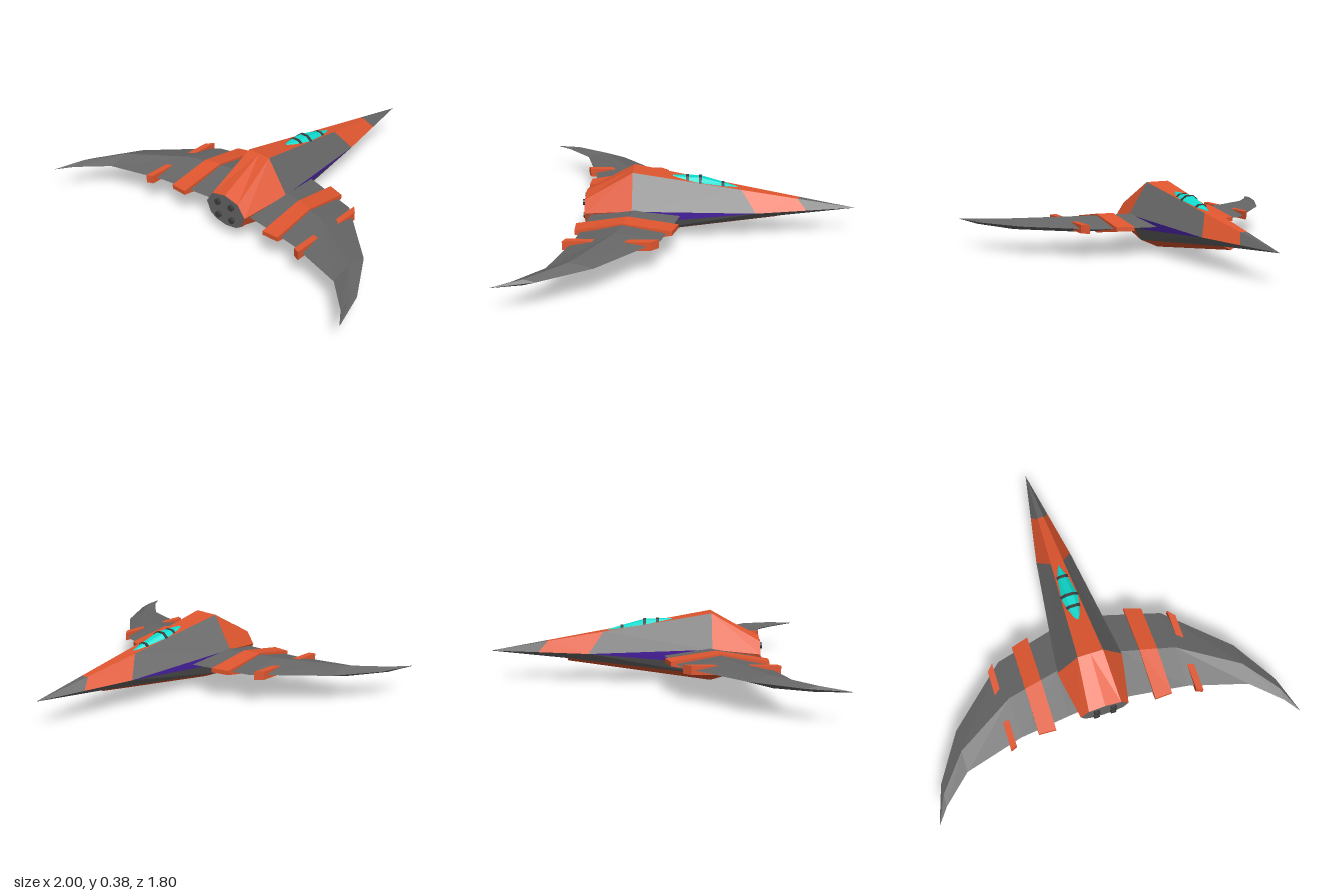
import * as THREE from 'three';

const mat = (name, color) => {
  const m = new THREE.MeshStandardMaterial({ color });
  m.name = name;
  m.flatShading = true;
  return m;
};

const V = (x, y, z) => new THREE.Vector3(x, y, z);
const mean = (pts) => pts.reduce((s, p) => s.add(p), V(0, 0, 0)).divideScalar(pts.length);
const flip = (pts) => pts.map((p) => V(-p.x, p.y, p.z));

// Adds one flat polygon as a fan, wound so that it faces away from the inner point.
function addFace(out, pts, inner) {
  for (let i = 1; i < pts.length - 1; i++) {
    const [a, b, c] = [pts[0], pts[i], pts[i + 1]];
    const n = b.clone().sub(a).cross(c.clone().sub(a));
    if (n.lengthSq() < 1e-14) continue;
    const away = n.dot(mean([a, b, c]).sub(inner)) > 0;
    for (const p of away ? [a, b, c] : [a, c, b]) out.push(p.x, p.y, p.z);
  }
}

function toMesh(name, material, out) {
  const g = new THREE.BufferGeometry();
  g.setAttribute('position', new THREE.Float32BufferAttribute(out, 3));
  g.computeVertexNormals();
  const m = new THREE.Mesh(g, material);
  m.name = name;
  return m;
}

// Hull plates, each given for the +x side and mirrored.
function plates(name, material, polygons) {
  const out = [];
  const inner = V(0, 0.17, 0.2);
  for (const p of polygons) {
    addFace(out, p, inner);
    addFace(out, flip(p), inner);
  }
  return toMesh(name, material, out);
}

// Closed solid through a row of convex rings with equal point counts.
function loft(name, material, rings) {
  const out = [];
  for (let s = 0; s < rings.length - 1; s++) {
    const [a, b] = [rings[s], rings[s + 1]];
    const inner = mean([...a, ...b]);
    a.forEach((p, i) => {
      const j = (i + 1) % a.length;
      addFace(out, [p, b[i], b[j], a[j]], inner);
    });
    if (s === 0) addFace(out, a, inner);
    if (s === rings.length - 2) addFace(out, b, inner);
  }
  return toMesh(name, material, out);
}

export function createModel() {
  const grey = mat('hull grey', 0x666666);
  const orange = mat('orange paint', 0xe0562f);
  const cyan = mat('cyan glass', 0x10ddd0);
  const purple = mat('purple intake', 0x5a2bc4);
  const dark = mat('dark metal', 0x3c3c3c);
  const model = new THREE.Group();
  model.name = 'spacecraft';

  // Hull guide lines: spine, shoulder and widest edge
  const nose = V(0, 0.17, -0.9);
  const k = (z) => (z + 0.9) / 1.22;
  const spine = (z) => V(0, 0.17 + 0.22 * k(z), z);
  const shoulder = (z) => V(0.07 * k(z), 0.17 + 0.22 * k(z), z);
  const edge = (z) => (z < -0.35
    ? V(0.1 * (z + 0.9) / 0.55, 0.17, z)
    : V(0.1 + 0.085 * (z + 0.35) / 0.67, 0.17 + 0.04 * (z + 0.35) / 0.67, z));

  // Widest section, tail section and front end of the belly
  const mid = [spine(0.32), shoulder(0.32), edge(0.32), V(0.15, 0.125, 0.32), V(0.11, 0.055, 0.32), V(0, 0.005, 0.32)];
  const tail = [V(0, 0.26, 0.583), V(0.09, 0.24, 0.583), V(0.135, 0.175, 0.583),
    V(0.11, 0.115, 0.583), V(0.07, 0.09, 0.583), V(0, 0.078, 0.583)];
  const bellySide = V(0.045, 0.137, -0.47);
  const bellyTip = V(0, 0.115, -0.47);
  const keel = V(0, 0.137, -0.47);

  model.add(plates('greyHull', grey, [
    [nose, spine(-0.59), shoulder(-0.59)],
    [nose, shoulder(-0.58), edge(-0.63)],
    [shoulder(-0.27), edge(-0.35), edge(0.32), shoulder(0.32)],
    [nose, edge(-0.35), bellySide, keel],
    [edge(-0.35), mid[3], mid[4], bellySide],
    [...tail],
  ]));
  model.add(plates('orangeHull', orange, [
    [spine(-0.59), shoulder(-0.59), shoulder(0.32), spine(0.32)],
    [shoulder(-0.58), edge(-0.63), edge(-0.35), shoulder(-0.27)],
    [bellyTip, bellySide, mid[4], mid[5]],
    [keel, bellySide, bellyTip],
    ...[0, 1, 2, 3, 4].map((i) => [mid[i], mid[i + 1], tail[i + 1], tail[i]]),
  ]));
  model.add(plates('sideIntakes', purple, [[edge(-0.35), edge(0.32), mid[3]]]));

  // Four exhaust nozzles
  for (const x of [-0.047, 0.047]) {
    for (const y of [0.13, 0.208]) {
      const n = new THREE.Mesh(new THREE.CylinderGeometry(0.017, 0.017, 0.03, 10), dark);
      n.name = 'nozzle';
      n.rotation.x = Math.PI / 2;
      n.position.set(x, y, 0.584);
      model.add(n);
    }
  }

  // Canopy: half-width, top and base along z, with dark frames
  const rows = [[-0.25, 0.003, 0.29, 0.28], [-0.17, 0.034, 0.313, 0.288], [-0.045, 0.053, 0.347, 0.3],
    [0.025, 0.05, 0.349, 0.303], [0.075, 0.032, 0.352, 0.325], [0.105, 0.008, 0.354, 0.345]];
  const canopyRing = ([z, w, top, base], grow = 0) => [
    [-1, 0], [-0.85, 0.6], [-0.4, 1], [0.4, 1], [0.85, 0.6], [1, 0],
  ].map(([u, v]) => V(u * (w + grow), base + v * (top + grow - base), z));
  model.add(loft('canopy', cyan, rows.map((r) => canopyRing(r))));
  for (const r of rows.slice(1, 4)) {
    const at = (dz) => canopyRing([r[0] + dz, r[1], r[2], r[3]], 0.003);
    model.add(loft('canopyFrame', dark, [at(-0.008), at(0.008)]));
  }

  // Wings: x, leading z, ridge z, trailing z, half thickness
  const stations = [[0.1, 0.05, 0.29, 0.545, 0.046], [0.19, 0.074, 0.31, 0.555, 0.046], [0.47, 0.15, 0.375, 0.59, 0.045],
    [0.79, 0.45, 0.57, 0.68, 0.031], [0.94, 0.7, 0.76, 0.82, 0.015], [1, 0.9, 0.902, 0.904, 0.001]];
  const bands = [[0.28, 0.066, 0.333, 0.607, 0.054], [0.375, 0.095, 0.354, 0.603, 0.054]];
  for (const side of [1, -1]) {
    const wingRing = ([x, l, r, t, h]) => [
      V(side * x, 0.17, l), V(side * x, 0.17 + h, r), V(side * x, 0.17, t), V(side * x, 0.17 - h, r)];
    // Bands have blunt front and rear ends
    const bandRing = ([x, l, r, t, h]) => [[0.012, l], [h, r], [0.012, t], [-0.012, t], [-h, r], [-0.012, l]]
      .map(([y, z]) => V(side * x, 0.17 + y, z));
    const clipRing = (x, z0, z1) => [[0.148, z0], [0.195, z0], [0.195, z1], [0.148, z1]]
      .map(([y, z]) => V(side * x, y, z));
    const wing = new THREE.Group();
    wing.name = side > 0 ? 'leftWing' : 'rightWing';
    wing.add(loft('wingPanel', grey, stations.map(wingRing)));
    wing.add(loft('wingBand', orange, bands.map(bandRing)));
    wing.add(loft('wingClip', orange, [clipRing(0.505, 0.155, 0.628), clipRing(0.54, 0.195, 0.642)].reverse()));
    model.add(wing);
  }
  return model;
}
